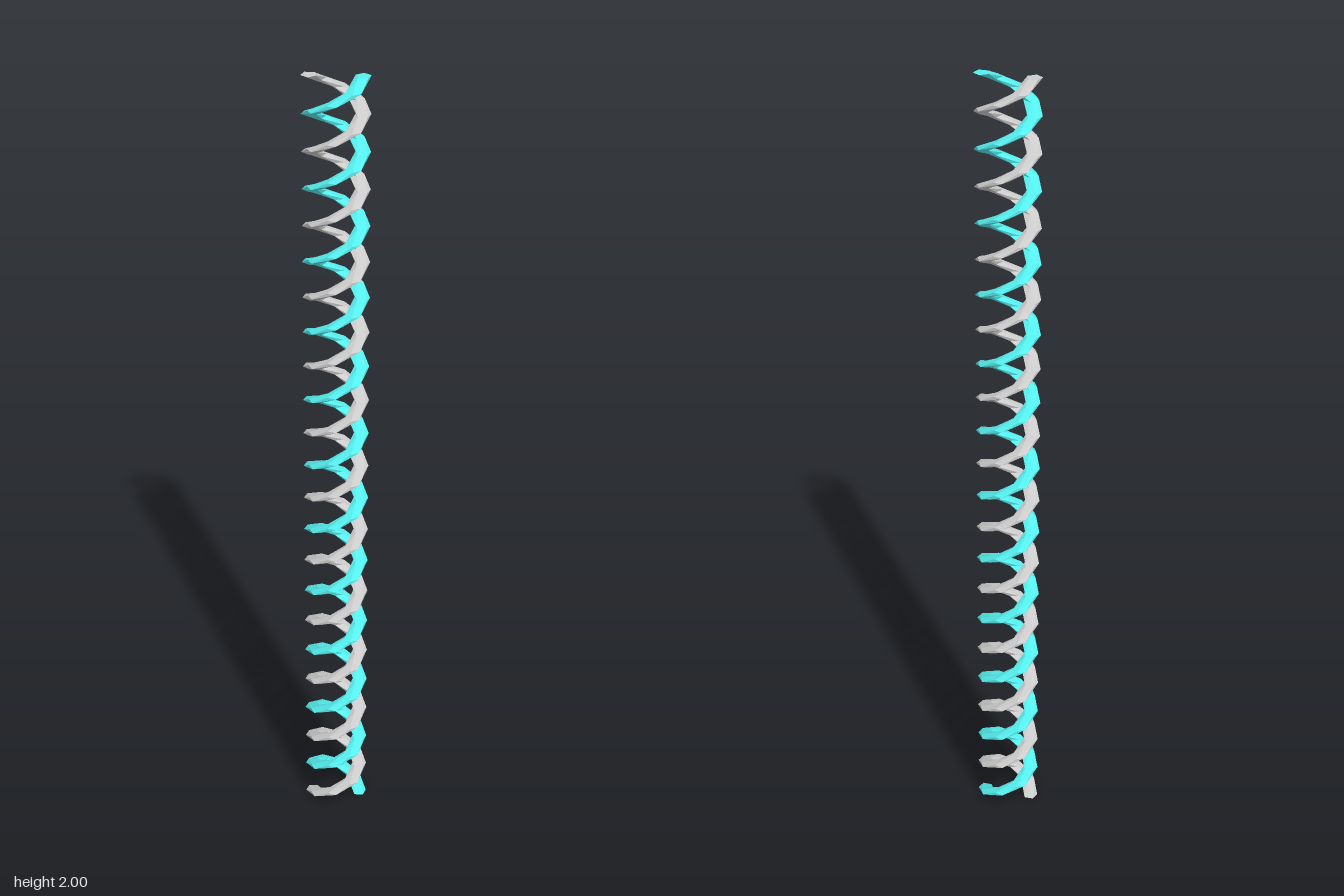
import * as THREE from 'three';

const HEIGHT = 2;
const TURNS = 11;
const STEPS_PER_TURN = 8;
const COIL_RADIUS = 0.0607;
const STRAND_RADIUS = 0.0187;

// Pentagon set off from the axis, extruded upward and twisted round it
function strandGeometry() {
  const corners = [];
  for (let i = 0; i < 5; i++) {
    const a = Math.PI / 2 + (i * 2 * Math.PI) / 5;
    corners.push(new THREE.Vector2(COIL_RADIUS + STRAND_RADIUS * Math.cos(a), STRAND_RADIUS * Math.sin(a)));
  }
  const geometry = new THREE.ExtrudeGeometry(new THREE.Shape(corners), {
    depth: HEIGHT, steps: TURNS * STEPS_PER_TURN, bevelEnabled: false,
  });
  const position = geometry.attributes.position;
  const axis = new THREE.Vector3(0, 0, 1);
  const v = new THREE.Vector3();
  for (let i = 0; i < position.count; i++) {
    v.fromBufferAttribute(position, i);
    v.applyAxisAngle(axis, (v.z / HEIGHT) * TURNS * 2 * Math.PI);
    position.setXYZ(i, v.x, v.y, v.z);
  }
  geometry.rotateX(-Math.PI / 2);
  geometry.computeVertexNormals();
  return geometry;
}

export function createModel() {
  const model = new THREE.Group();
  model.name = 'doubleHelix';
  const geometry = strandGeometry();

  // Two identical strands, half a turn apart
  const strands = [['cyanStrand', 0x55eeee, 0], ['greyStrand', 0xcccccc, Math.PI]];
  for (const [name, color, turn] of strands) {
    const strand = new THREE.Mesh(geometry, new THREE.MeshStandardMaterial({ color, flatShading: true }));
    strand.name = name;
    strand.rotation.y = turn;
    model.add(strand);
  }
  return model;
}
